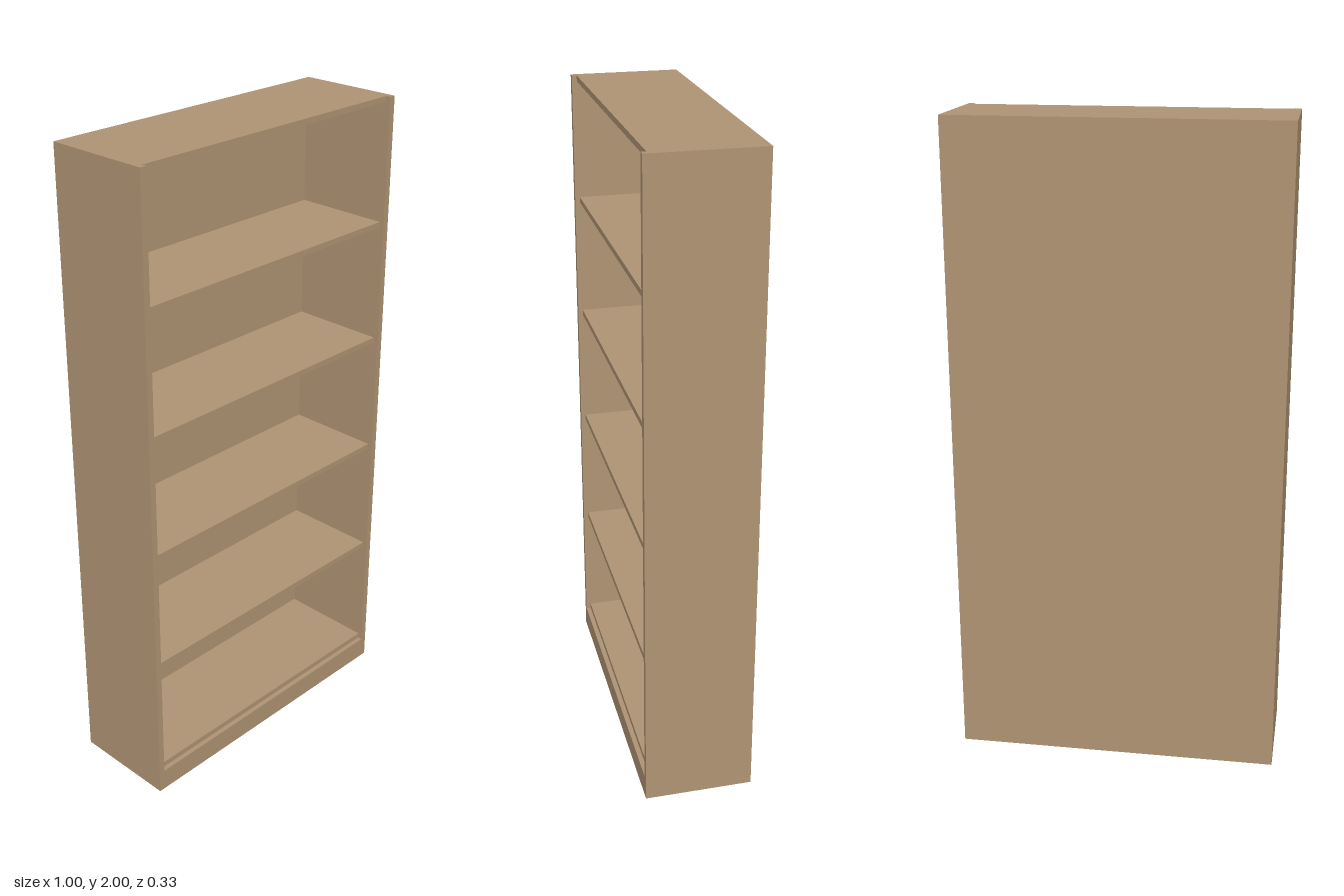
import * as THREE from 'three';

export function createModel() {
  const group = new THREE.Group();
  const wood = new THREE.MeshStandardMaterial({ color: 0xb09473 });
  wood.name = 'lightWood';

  const W = 1, H = 2, D = 0.334; // overall size
  const SIDE = 0.02, BACK = 0.012, SHELF = 0.018, KICK = 0.07, INSET = 0.015;
  const inner = W - 2 * SIDE;

  // Board spanning the given limits on each axis
  function board(name, x0, x1, y0, y1, z0, z1) {
    const mesh = new THREE.Mesh(new THREE.BoxGeometry(x1 - x0, y1 - y0, z1 - z0), wood);
    mesh.position.set((x0 + x1) / 2, (y0 + y1) / 2, (z0 + z1) / 2);
    mesh.name = name;
    group.add(mesh);
  }

  // Side panels
  board('leftSide', W / 2 - SIDE, W / 2, 0, H, -D / 2, D / 2);
  board('rightSide', -W / 2, -W / 2 + SIDE, 0, H, -D / 2, D / 2);

  // Back panel and kick board, both between the sides
  board('backPanel', -inner / 2, inner / 2, 0, H, -D / 2, -D / 2 + BACK);
  board('kickBoard', -inner / 2, inner / 2, 0, KICK, D / 2 - SIDE, D / 2);

  // Evenly spaced shelves from the base to the top, set back from the front
  const count = 6;
  const step = (H - KICK - SHELF) / (count - 1);
  for (let i = 0; i < count; i++) {
    const y = KICK + i * step;
    const name = i === 0 ? 'bottomShelf' : i === count - 1 ? 'topBoard' : `shelf${i}`;
    board(name, -inner / 2, inner / 2, y, y + SHELF, -D / 2 + BACK, D / 2 - INSET);
  }

  return group;
}
